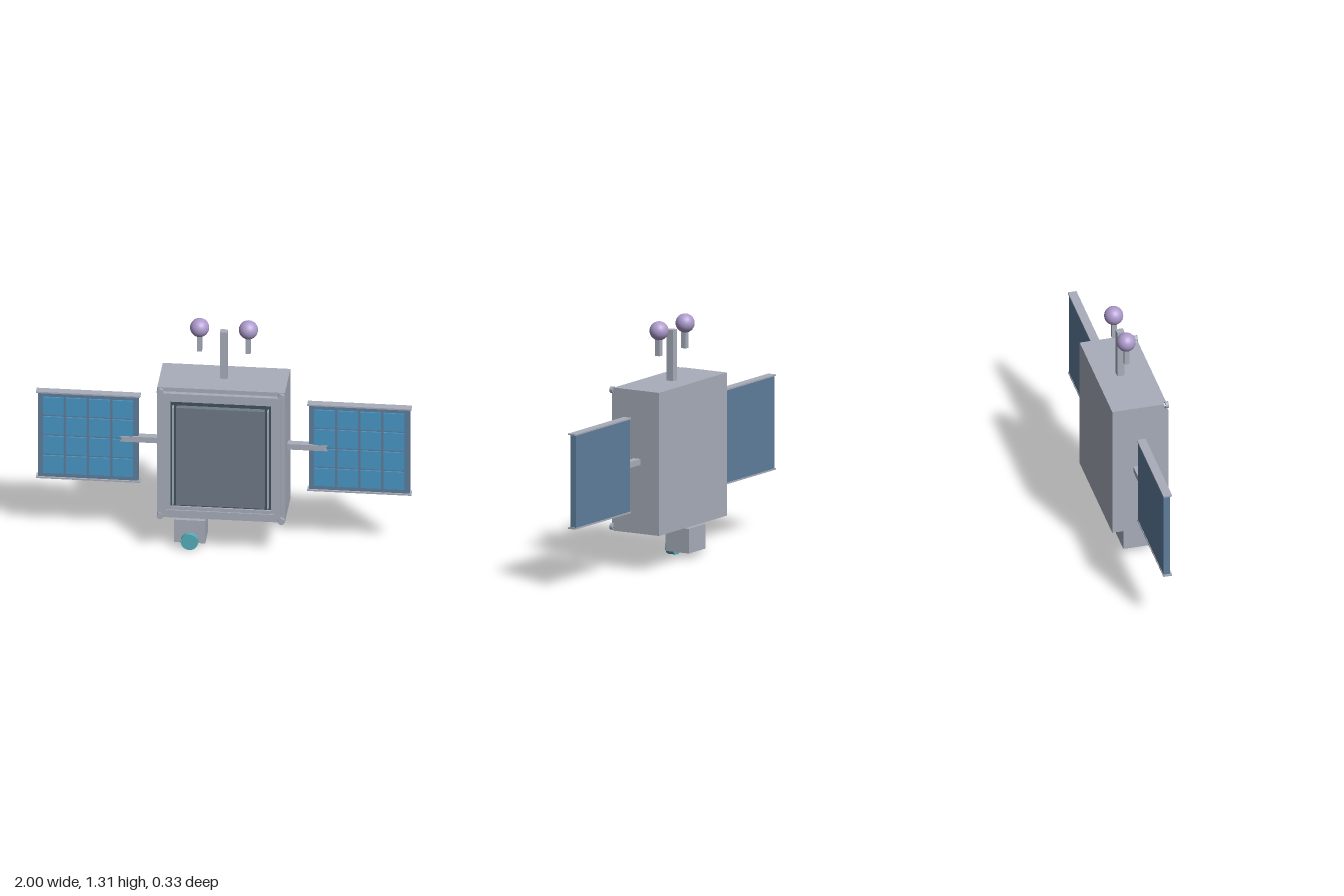
import * as THREE from 'three';

const mat = (name, color) => {
  const m = new THREE.MeshStandardMaterial({ color });
  m.name = name;
  return m;
};

export function createModel() {
  const root = new THREE.Group();
  root.name = 'satellite';
  const grey = mat('hull grey', 0xa8aebb);
  const blue = mat('solar cell blue', 0x4a98c6);
  const slate = mat('panel backing blue', 0x5f7f9e);
  const dark = mat('recess dark', 0x40525e);
  const screen = mat('hatch slate', 0x707c88);
  const teal = mat('lens teal', 0x56b0be);
  const violet = mat('antenna violet', 0xae9bcd);

  const add = (name, geo, material, parent = root) => {
    const mesh = new THREE.Mesh(geo, material);
    mesh.name = name;
    parent.add(mesh);
    return mesh;
  };
  // Box given by its minimum and maximum on each axis
  const box = (name, material, x0, x1, y0, y1, z0, z1, parent) => {
    const g = new THREE.BoxGeometry(x1 - x0, y1 - y0, z1 - z0);
    g.translate((x0 + x1) / 2, (y0 + y1) / 2, (z0 + z1) / 2);
    return add(name, g, material, parent);
  };
  // Extruded polygon
  const extrude = (pts, z0, z1, hole) => {
    const shape = new THREE.Shape(pts.map(p => new THREE.Vector2(...p)));
    if (hole) shape.holes.push(new THREE.Path(hole.map(p => new THREE.Vector2(...p))));
    return new THREE.ExtrudeGeometry(shape, { depth: z1 - z0, bevelEnabled: false }).translate(0, 0, z0);
  };
  const CY = 0.592;
  const rect = (w, h) => [[-w, CY - h], [w, CY - h], [w, CY + h], [-w, CY + h]];
  const ring = (name, w, h, w2, h2, z0, z1) =>
    add(name, extrude(rect(w, h), z0, z1, rect(w2, h2)), grey);

  // Main body
  box('body', grey, -0.34, 0.34, 0.205, 0.977, -0.165, 0.118);

  // Stepped front frame with round corner studs
  ring('outerFrame', 0.318, 0.362, 0.288, 0.33, 0.117, 0.144);
  ring('innerFrame', 0.288, 0.33, 0.267, 0.311, 0.117, 0.137);
  for (const x of [-1, 1]) for (const y of [-1, 1]) {
    const stud = add('cornerStud', new THREE.CylinderGeometry(0.018, 0.018, 0.018, 12), grey);
    stud.rotation.x = Math.PI / 2;
    stud.position.set(x * 0.323, CY + y * 0.369, 0.137);
    const brace = box('cornerBrace', grey, -0.018, 0.018, -0.01, 0.01, 0.117, 0.14);
    brace.position.set(x * 0.316, CY + y * 0.362, 0);
    brace.rotation.z = x * y * Math.PI / 4;
  }

  // Front hatch: dark recess, raised panel and side rails
  box('hatchRecess', dark, -0.267, 0.267, 0.283, 0.903, 0.117, 0.13);
  box('hatchPanel', screen, -0.235, 0.235, 0.303, 0.88, 0.13, 0.16);
  for (const s of [-1, 1])
    box('hatchRail', grey, s * 0.253 - 0.004, s * 0.253 + 0.004, 0.303, 0.88, 0.13, 0.165);

  // Solar wings
  for (const s of [-1, 1]) {
    const wing = new THREE.Group();
    wing.name = s > 0 ? 'leftWing' : 'rightWing';
    wing.position.set(s * 0.7225, CY, 0);
    root.add(wing);
    box('wingBoard', slate, -0.268, 0.268, -0.25, 0.25, -0.054, -0.02, wing);
    for (const t of [-1, 1])
      box('wingRail', grey, -0.2775, 0.2775, t * 0.253 - 0.004, t * 0.253 + 0.004, -0.057, -0.01, wing);
    // 4 by 4 grid of cells
    for (let i = 0; i < 4; i++) for (let j = 0; j < 4; j++) {
      const x = (i - 1.5) * 0.123, y = (j - 1.5) * 0.1155;
      box('solarCell', blue, x - 0.055, x + 0.055, y - 0.052, y + 0.052, -0.021, -0.012, wing);
    }
    // Arm with a notched tip lying over the cells
    const pts = [[0.33, 0.577], [0.555, 0.577], [0.54, 0.593], [0.555, 0.609], [0.33, 0.609]];
    const arm = s > 0 ? pts : pts.map(([x, y]) => [-x, y]).reverse();
    add('wingArm', extrude(arm, -0.05, -0.008), grey);
  }

  // Mast and two ball antennas
  box('mast', grey, -0.02, 0.02, 0.97, 1.252, -0.053, -0.013);
  for (const s of [-1, 1]) {
    const x = s * 0.13;
    box('antennaStem', grey, x - 0.013, x + 0.013, 1.13, 1.24, -0.046, -0.018);
    const ball = add('antennaBall', new THREE.IcosahedronGeometry(0.051, 5), violet);
    ball.position.set(x, 1.265, -0.034);
  }

  // Camera box and lens below the body
  box('cameraBox', grey, -0.255, -0.09, 0.032, 0.165, -0.082, 0.065);
  const lens = add('cameraLens', new THREE.CylinderGeometry(0.046, 0.046, 0.048, 32), teal);
  lens.rotation.x = Math.PI / 2;
  lens.position.set(-0.172, 0.047, 0.066);

  return root;
}
